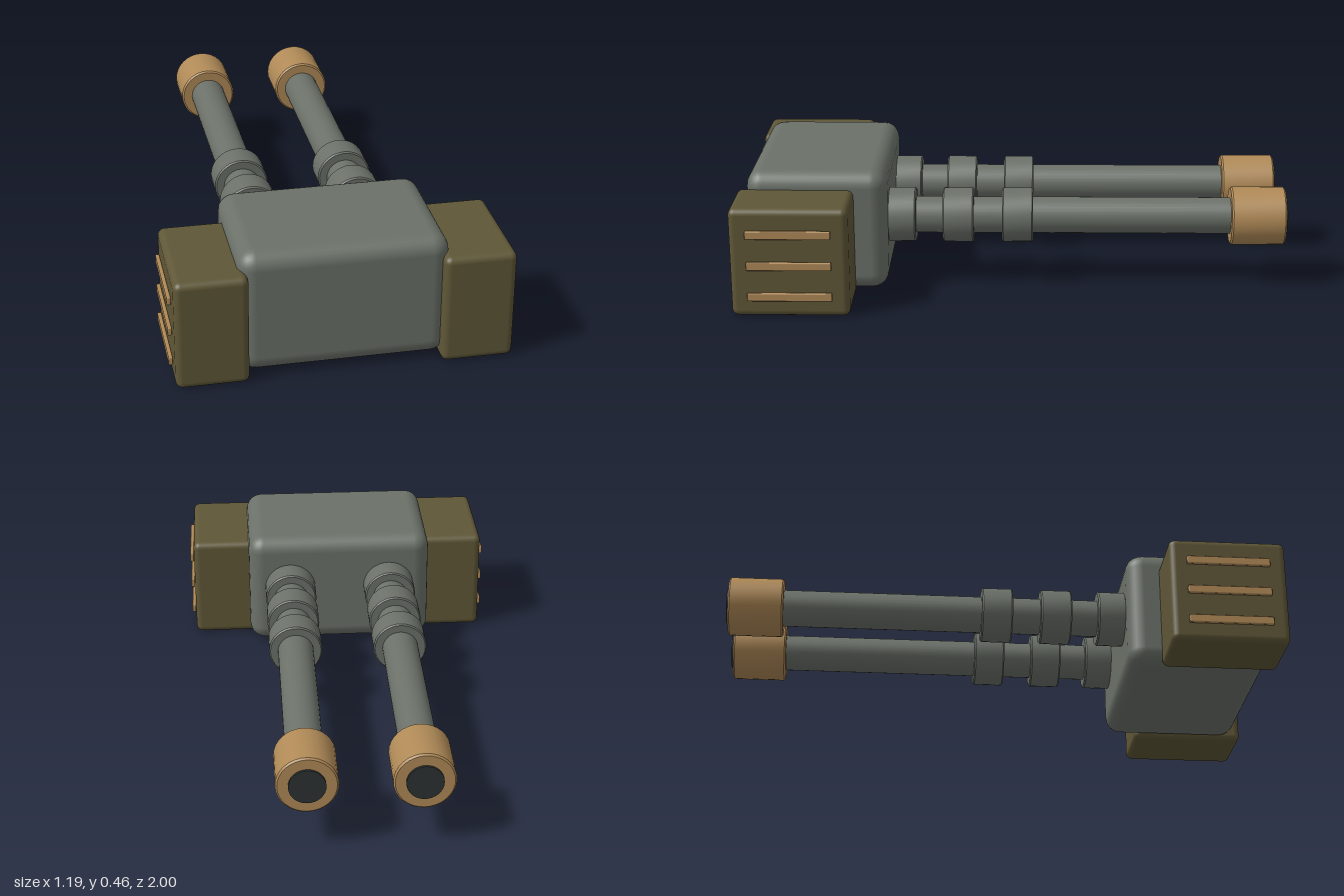
import * as THREE from 'three';
import { RoundedBoxGeometry } from 'three/addons/geometries/RoundedBoxGeometry.js';
import { toCreasedNormals } from 'three/addons/utils/BufferGeometryUtils.js';

function material(name, color) {
  const m = new THREE.MeshStandardMaterial({ color });
  m.name = name;
  return m;
}

export function createModel() {
  const gunmetal = material('gunmetal grey', 0x6b7169);
  const olive = material('olive', 0x5f5737);
  const tan = material('tan', 0xb08a57);
  const dark = material('dark bore', 0x2c3133);

  const model = new THREE.Group();
  model.name = 'twinBarrelTurret';

  function add(parent, name, geometry, mat, x, y, z) {
    const mesh = new THREE.Mesh(geometry, mat);
    mesh.name = name;
    mesh.position.set(x, y, z);
    parent.add(mesh);
    return mesh;
  }

  // Solid cylinder along z with slightly eased rims
  function tube(radius, length, ease = 0) {
    const h = length / 2;
    const profile = [[0, -h], [radius - ease, -h]];
    if (ease) profile.push([radius, -h + ease], [radius, h - ease]);
    profile.push([radius - ease, h], [0, h]);
    const lathe = new THREE.LatheGeometry(profile.map(([r, y]) => new THREE.Vector2(r, y)), 32);
    return toCreasedNormals(lathe.rotateX(Math.PI / 2), 0.6);
  }

  // Central housing
  add(model, 'housing', new RoundedBoxGeometry(0.72, 0.45, 0.508, 3, 0.06), gunmetal, 0, 0.237, 0.716);

  for (const side of [1, -1]) {
    const label = side > 0 ? 'left' : 'right';

    // Side pod with three slats on its outer face
    const pod = new THREE.Group();
    pod.name = label + 'SidePod';
    model.add(pod);
    add(pod, 'podBox', new RoundedBoxGeometry(0.25, 0.4, 0.42, 3, 0.024), olive, side * 0.456, 0.2, 0.79);
    for (const y of [0.079, 0.194, 0.31]) {
      add(pod, 'slat', new RoundedBoxGeometry(0.014, 0.03, 0.3, 2, 0.004), tan, side * 0.59, y, 0.79);
    }

    // Barrel with collars, muzzle and dark bore
    const barrel = new THREE.Group();
    barrel.name = label + 'Barrel';
    barrel.position.set(side * 0.197, 0.255, 0);
    model.add(barrel);
    add(barrel, 'barrelTube', tube(0.067, 1.35), gunmetal, 0, 0, -0.175);
    for (const z of [0.42, 0.208, -0.01]) {
      add(barrel, 'collar', tube(0.1, 0.114, 0.005), gunmetal, 0, 0, z);
    }
    add(barrel, 'muzzle', tube(0.107, 0.2, 0.006), tan, 0, 0, -0.892);
    add(barrel, 'bore', tube(0.064, 0.04), dark, 0, 0, -0.98);
  }

  return model;
}
